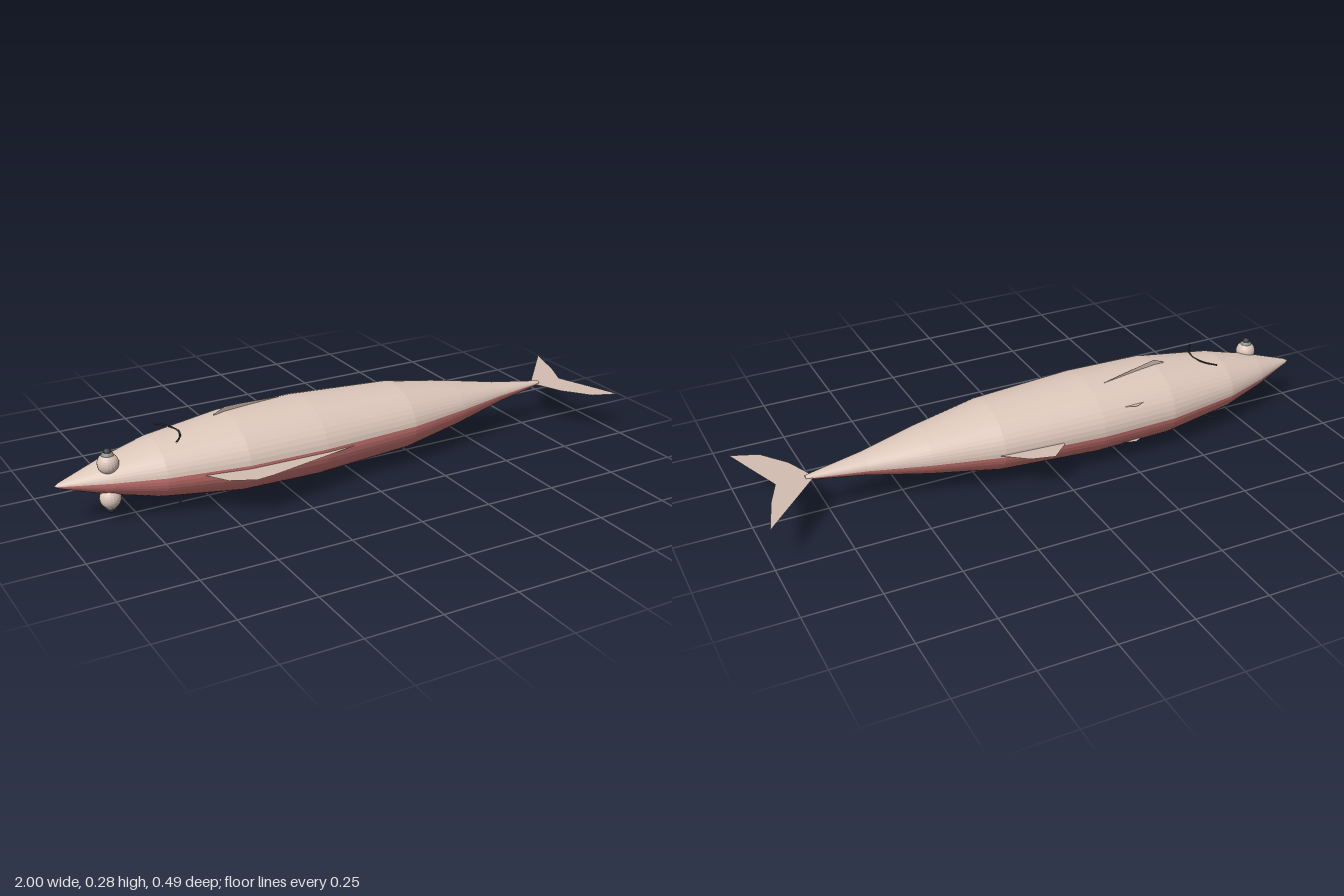
import * as THREE from 'three';

const CY = 0.142, CZ = -0.01; // body axis

export function createModel() {
  const model = new THREE.Group();
  model.name = 'fish';
  const mat = (name, color, extra = {}) => {
    const m = new THREE.MeshStandardMaterial({ color, ...extra });
    m.name = name;
    return m;
  };
  const skin = mat('beige skin', 0xdcc6ba, { flatShading: true });
  const belly = mat('red side', 0xc47270, { flatShading: true });
  const finMat = mat('fin beige', 0xd2bcb0, { side: THREE.DoubleSide });
  const grey = mat('iris grey', 0x8c8c88);
  const dark = mat('dark grey', 0x3a3c3e);

  const add = (name, geometry, material, parent = model) => {
    const mesh = new THREE.Mesh(geometry, material);
    mesh.name = name;
    parent.add(mesh);
    return mesh;
  };

  // Body: two half shells revolved round the x axis, flattened in y
  const profile = [
    [-1, 0.001], [-0.985, 0.012], [-0.84, 0.075], [-0.68, 0.13], [-0.42, 0.175], [-0.15, 0.18],
    [0.2, 0.155], [0.43, 0.103], [0.63, 0.048], [0.82, 0.009], [0.82, 0.0001],
  ].map(([x, r]) => new THREE.Vector2(r, x));
  const half = (name, start, material) => {
    const g = new THREE.LatheGeometry(profile, 24, start, Math.PI);
    g.rotateZ(-Math.PI / 2).scale(1, 0.715, 1).translate(0, CY, CZ);
    add(name, g, material);
  };
  half('lowerBody', -0.08, belly);
  half('upperBody', Math.PI - 0.08, skin);

  // Flat fins, drawn as x, z outlines in a level plane
  const flatFin = (name, points, y = CY) => {
    const shape = new THREE.Shape(points.map(([x, z]) => new THREE.Vector2(x, -z)));
    const g = new THREE.ShapeGeometry(shape).rotateX(-Math.PI / 2).translate(0, y, 0);
    add(name, g, finMat);
  };
  flatFin('tailFin', [
    [0.79, -0.015], [0.8, -0.025], [1, -0.245], [0.955, -0.1], [0.915, -0.008],
    [0.955, 0.1], [1, 0.225], [0.91, 0.19], [0.84, 0.1], [0.8, 0.005],
  ]);
  flatFin('dorsalFin', [[0, -0.15], [0, -0.187], [0.062, -0.242], [0.14, -0.222], [0.23, -0.155], [0.2, -0.12]]);
  flatFin('ventralFin', [
    [-0.57, 0.11], [-0.57, 0.135], [-0.52, 0.21], [-0.44, 0.247], [-0.38, 0.24], [-0.05, 0.165], [-0.05, 0.13],
  ]);

  // Details repeated on both broad sides of the fish
  for (const s of [1, -1]) {
    const side = s > 0 ? 'upper' : 'lower';

    // Eye: bulging ball, iris and pupil
    const eye = new THREE.Group();
    eye.name = side + 'Eye';
    eye.position.set(-0.838, CY, 0.028);
    model.add(eye);
    add('eyeball', new THREE.SphereGeometry(0.034, 20, 14), skin, eye).position.y = s * 0.058;
    add('iris', new THREE.SphereGeometry(0.021, 16, 12), grey, eye).position.y = s * 0.079;
    add('pupil', new THREE.SphereGeometry(0.013, 14, 10), dark, eye).position.y = s * 0.095;

    // Gill: thin curved line
    const gy = CY + s * 0.103;
    const gill = new THREE.CatmullRomCurve3([
      [-0.635, -0.098], [-0.605, -0.058], [-0.592, -0.008], [-0.605, 0.042], [-0.635, 0.082],
    ].map(([x, z]) => new THREE.Vector3(x, gy, z)));
    add(side + 'Gill', new THREE.TubeGeometry(gill, 16, 0.003, 5), dark);

    // Pectoral fin: upright blade standing just proud of the body
    const blade = new THREE.BufferGeometry();
    const p = [[-0.46, 0.11, -0.027], [-0.46, 0.123, -0.027], [-0.42, 0.141, -0.03], [-0.36, 0.137, -0.042],
      [-0.2, 0.121, -0.07]].flatMap(([x, y, z]) => [x, CY + s * y, z]);
    blade.setAttribute('position', new THREE.Float32BufferAttribute(p, 3));
    blade.setIndex([0, 1, 2, 0, 2, 3, 0, 3, 4]);
    blade.computeVertexNormals();
    add(side + 'PectoralFin', blade, finMat);

    // Small finlet lying against the flank
    flatFin(side + 'Finlet', [[-0.31, -0.158], [-0.275, -0.175], [-0.225, -0.158]], CY + s * 0.068);
  }
  return model;
}
